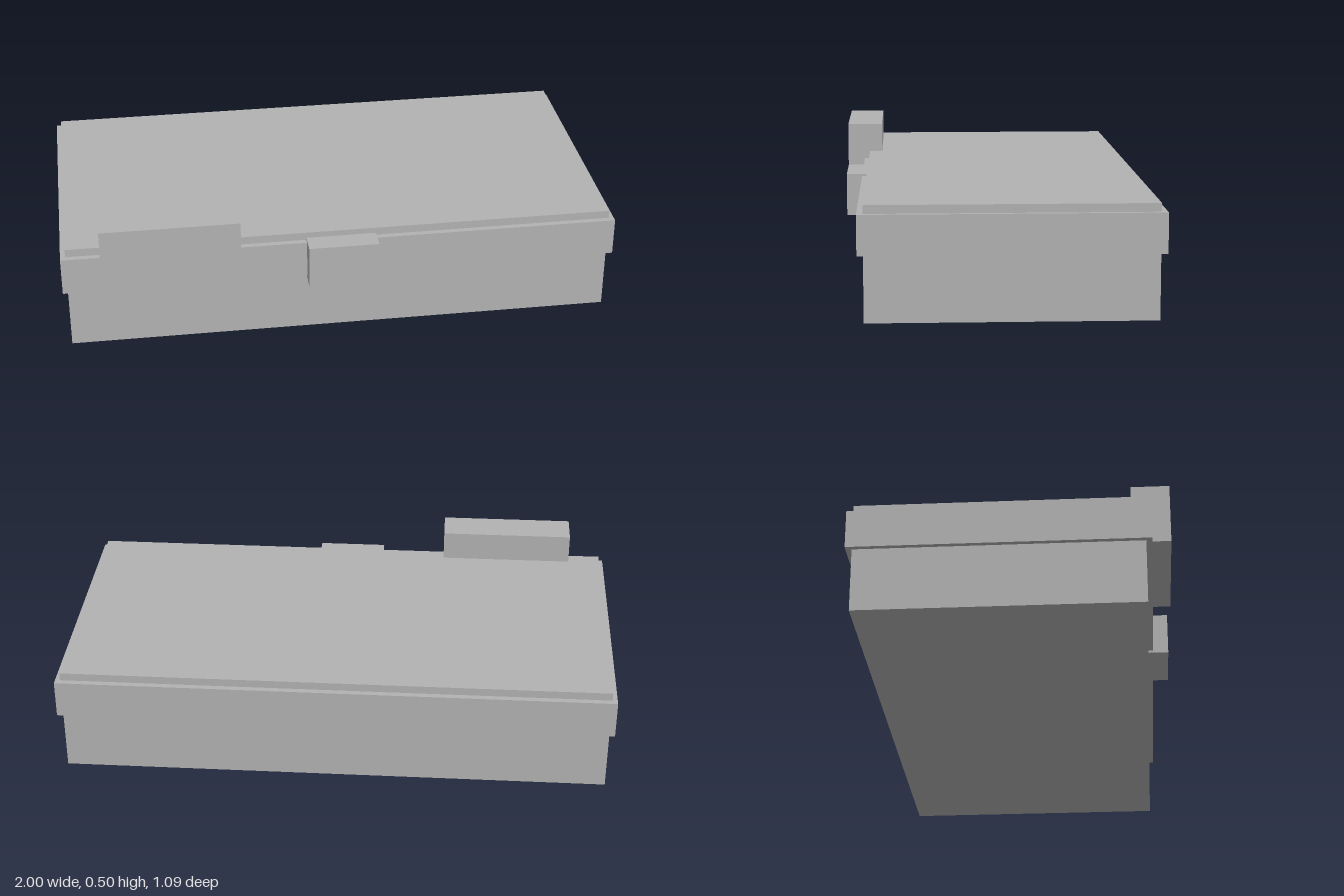
import * as THREE from 'three';

const grey = new THREE.MeshStandardMaterial({ color: 0xb2b2b2 });
grey.name = 'plain grey';

// Box given by its extents along each axis
function block(name, [x0, x1], [y0, y1], [z0, z1]) {
  const mesh = new THREE.Mesh(new THREE.BoxGeometry(x1 - x0, y1 - y0, z1 - z0), grey);
  mesh.position.set((x0 + x1) / 2, (y0 + y1) / 2, (z0 + z1) / 2);
  mesh.name = name;
  return mesh;
}

export function createModel() {
  const model = new THREE.Group();
  model.name = 'flatRoofedBuilding';
  model.add(
    // Main volume, rising slightly above the band as the roof
    block('buildingBody', [-0.982, 0.982], [0, 0.395], [-0.524, 0.459]),
    // Overhanging band around the walls
    block('fasciaBand', [-1, 1], [0.228, 0.366], [-0.545, 0.48]),
    // Large sign box straddling the front edge
    block('largeSignBox', [-0.861, -0.369], [0.289, 0.504], [0.411, 0.545]),
    // Small sign box in the middle of the front
    block('smallSignBox', [-0.128, 0.123], [0.219, 0.374], [0.455, 0.537]),
  );
  return model;
}
